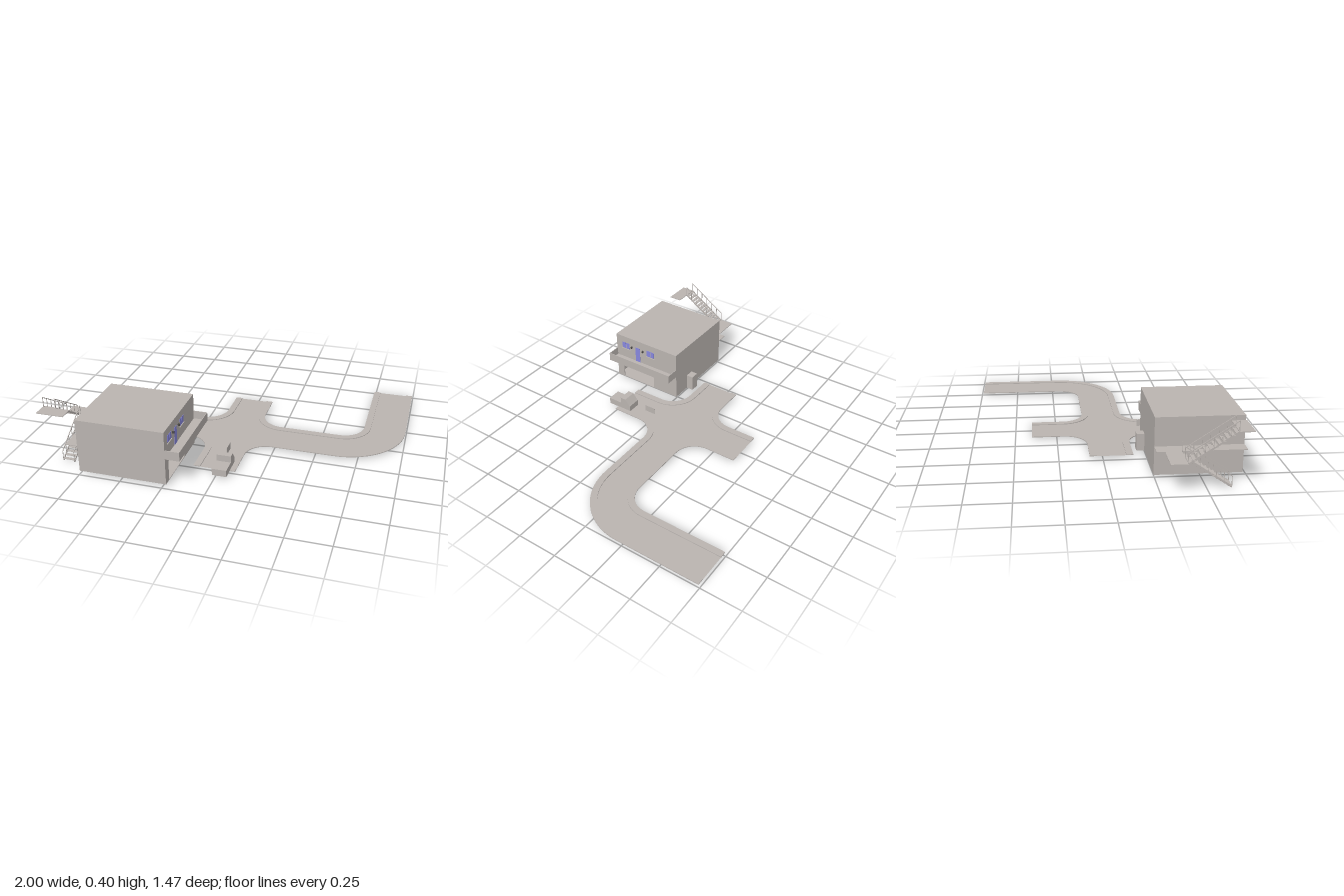
import * as THREE from 'three';

export function createModel() {
  const model = new THREE.Group();
  const mat = (name, color) => new THREE.MeshStandardMaterial({ name, color, side: THREE.DoubleSide });
  const grey = mat('warm grey', 0xbab4b0);
  const blue = mat('window blue', 0x8888dd);
  const dark = mat('dark fitting', 0x4a4848);

  const add = (parent, name, geo, material = grey) => {
    const mesh = new THREE.Mesh(geo, material);
    mesh.name = name;
    parent.add(mesh);
    return mesh;
  };
  const group = (name) => {
    const g = new THREE.Group();
    g.name = name;
    model.add(g);
    return g;
  };
  // Box from its limits on each axis
  const box = (parent, name, x0, x1, y0, y1, z0, z1, material) => {
    const geo = new THREE.BoxGeometry(x1 - x0, y1 - y0, z1 - z0);
    geo.translate((x0 + x1) / 2, (y0 + y1) / 2, (z0 + z1) / 2);
    return add(parent, name, geo, material);
  };
  // Bar running in the y-z plane at a fixed x
  const bar = (parent, name, x, y0, z0, y1, z1, w, h) => {
    const mesh = add(parent, name, new THREE.BoxGeometry(w, h, Math.hypot(y1 - y0, z1 - z0)));
    mesh.position.set(x, (y0 + y1) / 2, (z0 + z1) / 2);
    mesh.rotation.x = -Math.atan2(y1 - y0, z1 - z0);
  };

  // ---- Road: four edges, each with the road on its right ----
  const arc = (cx, cz, r, a0, a1, n = 14) => Array.from({ length: n + 1 }, (_, i) => {
    const a = (a0 + (a1 - a0) * i / n) * Math.PI / 180;
    return [cx + r * Math.cos(a), cz + r * Math.sin(a)];
  });
  const edges = [
    [[-0.47, -0.075], ...arc(-0.285, -0.21, 0.135, 90, 0), [-0.15, -0.4]],
    [[0.1, -0.4], ...arc(0.235, -0.21, 0.135, 180, 90), ...arc(0.605, -0.21, 0.135, 90, 0), [0.74, -0.74]],
    [[0.995, -0.74], ...arc(0.61, -0.21, 0.385, 0, 90, 24), ...arc(0.235, 0.31, 0.135, 270, 180), [0.1, 0.5]],
    [[-0.15, 0.5], ...arc(-0.285, 0.31, 0.135, 0, -90), [-0.47, 0.175]],
  ];
  const inset = (pts, d) => pts.map(([x, z], i) => {
    const a = pts[Math.max(i - 1, 0)], b = pts[Math.min(i + 1, pts.length - 1)];
    let dx = b[0] - a[0], dz = b[1] - a[1];
    // snap nearly straight joints to the axis so the strip keeps its width
    if (Math.abs(dx) < 0.12 * Math.abs(dz)) dx = 0;
    if (Math.abs(dz) < 0.12 * Math.abs(dx)) dz = 0;
    const l = Math.hypot(dx, dz);
    return [x - dz / l * d, z + dx / l * d];
  });
  const flatShape = (pts) => new THREE.Shape(pts.map(([x, z]) => new THREE.Vector2(x, -z)));
  const road = group('road');
  const surface = new THREE.ShapeGeometry(flatShape(edges.flat()));
  surface.rotateX(-Math.PI / 2).translate(0, 0.017, 0);
  add(road, 'roadSurface', surface);
  for (const e of edges) {
    const strip = flatShape([...e, ...inset(e, 0.04).reverse()]);
    const geo = new THREE.ExtrudeGeometry(strip, { depth: 0.005, bevelEnabled: false });
    geo.rotateX(-Math.PI / 2).translate(0, 0.017, 0);
    add(road, 'pavement', geo);
  }

  // ---- Building: hollow shell with a garage opening on the +x side ----
  const b = group('building');
  const X0 = -0.755, X1 = -0.23, Z0 = 0.245, Z1 = 0.73, Y0 = 0.018, Y1 = 0.345, t = 0.006;
  box(b, 'groundFloor', X0, X1, Y0, Y0 + 0.004, Z0, Z1);
  box(b, 'upperFloor', X0 + t, X1 - t, 0.176, 0.18, Z0 + t, Z1 - t);
  box(b, 'roof', X0, X1, Y1 - t, Y1, Z0, Z1);
  box(b, 'frontWall', X0, X1, Y0, Y1, Z1 - t, Z1);
  box(b, 'backWall', X0, X1, Y0, Y1, Z0, Z0 + t);
  box(b, 'stairSideWall', X0, X0 + t, Y0, Y1, Z0, Z1);
  box(b, 'garageWallBack', X1 - t, X1, Y0, Y1, Z0, 0.43);
  box(b, 'garageWallFront', X1 - t, X1, Y0, Y1, 0.68, Z1);
  box(b, 'garageLintel', X1 - t, X1, 0.14, Y1, 0.43, 0.68);
  box(b, 'rearCabinet', -0.41, -0.355, Y0, 0.12, 0.2, Z0);

  // Balcony with parapet
  const balcony = group('balcony');
  box(balcony, 'balconyFloor', X1, -0.145, 0.18, 0.185, Z0, Z1);
  box(balcony, 'balconyParapet', -0.149, -0.145, 0.18, 0.235, Z0, Z1);
  for (const z of [Z0, Z1 - 0.004]) box(balcony, 'balconyEnd', X1, -0.145, 0.18, 0.235, z, z + 0.004);

  // Windows, door and lamps
  for (const z of [0.452, 0.652]) {
    for (const s of [-1, 1]) {
      const c = z + s * 0.0155;
      box(b, 'windowPane', X1, X1 + 0.002, 0.257, 0.3, c - 0.0135, c + 0.0135, blue);
    }
    box(b, 'windowSill', X1, X1 + 0.005, 0.25, 0.253, z - 0.034, z + 0.034);
  }
  box(b, 'balconyDoor', X1, X1 + 0.002, 0.185, 0.292, 0.537, 0.573, blue);
  for (const z of [0.51, 0.602]) box(b, 'wallLamp', X1, X1 + 0.011, 0.275, 0.287, z - 0.004, z + 0.004, dark);

  // ---- Outside stairs ----
  const stairs = group('stairs');
  box(stairs, 'walkway', -0.83, X0, 0.177, 0.181, Z0, Z1);
  box(stairs, 'middleLanding', -1, -0.83, 0.177, 0.181, 0.29, 0.38);
  box(stairs, 'topLanding', -1, -0.835, 0.342, 0.346, 0.63, 0.712);
  const flight = (x0, x1, y0, z0, y1, z1) => {
    const steps = 12, dir = Math.sign(z1 - z0);
    for (let i = 0; i < steps; i++) {
      const f = (i + 0.5) / steps;
      const y = y0 + (y1 - y0) * f, z = z0 + (z1 - z0) * f;
      box(stairs, 'tread', x0, x1, y - 0.0015, y + 0.0015, z - 0.01, z + 0.01);
    }
    for (const x of [x0 + 0.003, x1 - 0.003]) {
      bar(stairs, 'stringer', x, y0, z0, y1, z1, 0.004, 0.01);
      bar(stairs, 'handrail', x, y0 + 0.06, z0, y1 + 0.06, z1, 0.004, 0.004);
      for (let i = 0; i <= 6; i++) {
        const y = y0 + (y1 - y0) * i / 6, z = z0 + (z1 - z0) * i / 6 - dir * (i === 6 ? 0.002 : 0);
        box(stairs, 'railPost', x - 0.0015, x + 0.0015, y, y + 0.06, z - 0.0015, z + 0.0015);
      }
    }
  };
  flight(-0.912, -0.836, 0.007, 0.632, 0.179, 0.378);
  flight(-1, -0.92, 0.179, 0.378, 0.345, 0.632);

  // ---- Parked truck: side profile drawn across its width ----
  const truck = group('truck');
  const profile = [[0.569, 0.019], [0.569, 0.06], [0.477, 0.06], [0.477, 0.1], [0.439, 0.1],
    [0.412, 0.066], [0.405, 0.058], [0.405, 0.019]];
  const body = new THREE.ExtrudeGeometry(
    new THREE.Shape(profile.map(([z, y]) => new THREE.Vector2(-z, y))),
    { depth: 0.085, bevelEnabled: false });
  body.rotateY(Math.PI / 2).translate(-0.016, 0, 0);
  add(truck, 'truckBody', body);

  // Upright panel on the road
  box(model, 'roadPanel', -0.001, 0.001, 0.017, 0.06, 0.255, 0.33);

  return model;
}
